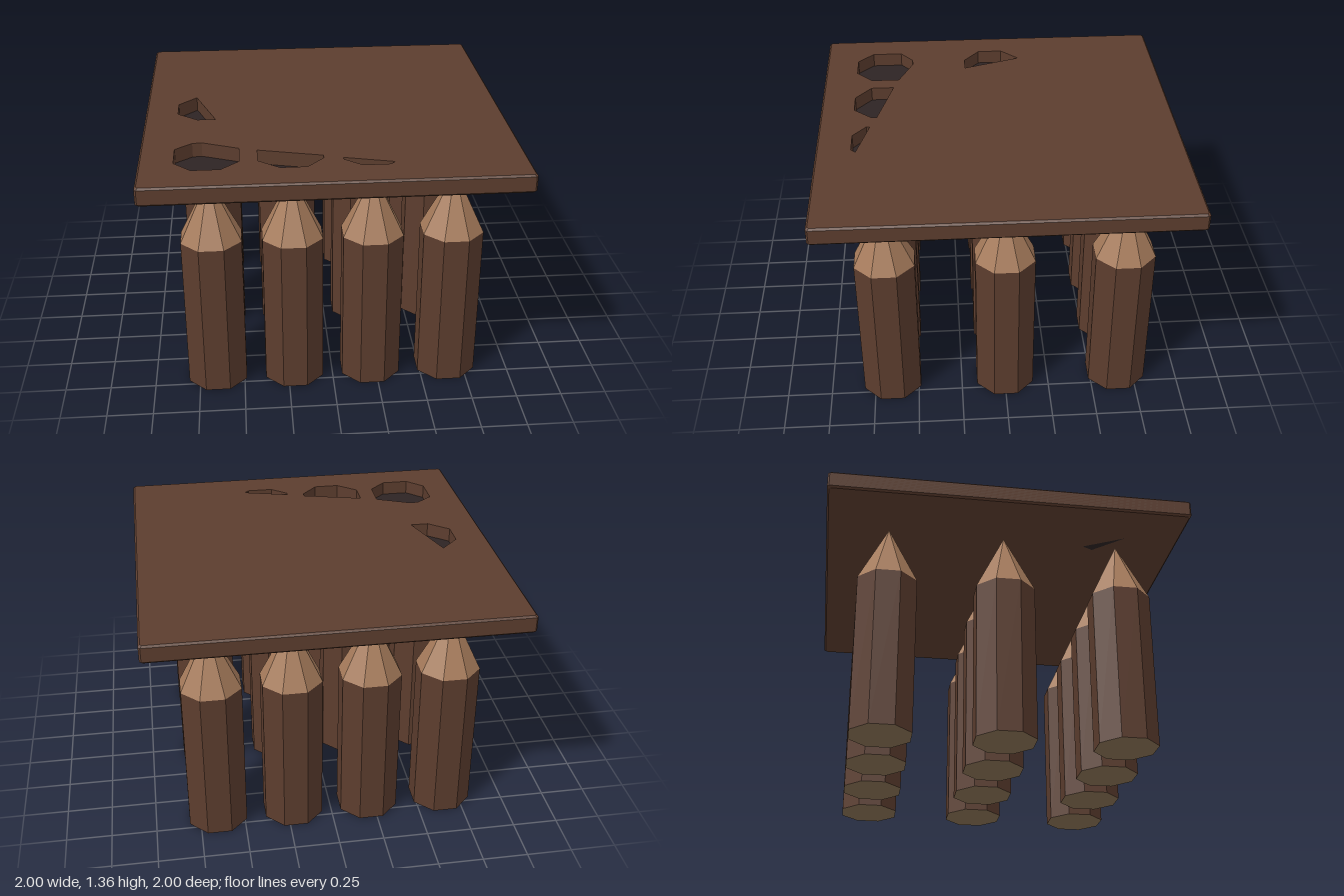
import * as THREE from 'three';

const material = (name, color) => Object.assign(new THREE.MeshStandardMaterial({ color }), { name });

const BOTTOM = 1.26, FLOOR = 1.28, TOP = 1.36;

// Openings in the board's upper face, as [x, z]
const PITS = [
  [[-0.82, 0.55], [-0.73, 0.48], [-0.68, 0.475], [-0.485, 0.56], [-0.485, 0.72], [-0.58, 0.81], [-0.73, 0.81], [-0.82, 0.72]],
  [[-0.39, 0.59], [-0.05, 0.68], [-0.05, 0.71], [-0.14, 0.81], [-0.28, 0.81], [-0.39, 0.72]],
  [[0.05, 0.715], [0.31, 0.785], [0.285, 0.81], [0.14, 0.81], [0.05, 0.735]],
  [[-0.72, -0.17], [-0.61, 0.16], [-0.71, 0.16], [-0.82, 0.07], [-0.82, -0.07]],
];

// Narrow gaps in the underside, as [x, z]
const GAPS = [
  [[-0.61, 0.47], [-0.58, 0.53], [-0.73, 0.69]],
  [[0.53, -0.54], [0.66, -0.65], [0.645, -0.59]],
];

const points = (list, sign) => list.map(([x, z]) => new THREE.Vector2(x, sign * z));

// Horizontal layer of the board, chamfered along its outer edges
function boardLayer(y0, y1, holes) {
  const a = 1, b = 0.99;
  const shape = new THREE.Shape(points(
    [[-b, -a], [b, -a], [a, -b], [a, b], [b, a], [-b, a], [-a, b], [-a, -b]], 1));
  shape.holes = holes.map((h) => new THREE.Path(points(h, -1)));
  const geo = new THREE.ExtrudeGeometry(shape, {
    depth: y1 - y0, steps: Math.round((y1 - y0) / 0.01), bevelEnabled: false,
  });
  geo.rotateX(-Math.PI / 2).translate(0, y0, 0);
  const p = geo.attributes.position;
  for (let i = 0; i < p.count; i++) {
    const outer = Math.max(Math.abs(p.getX(i)), Math.abs(p.getZ(i))) > 0.98;
    const edge = p.getY(i) < BOTTOM + 0.001 || p.getY(i) > TOP - 0.001;
    if (outer && edge) p.setXYZ(i, p.getX(i) * 0.99, p.getY(i), p.getZ(i) * 0.99);
  }
  geo.computeVertexNormals();
  return geo;
}

export function createModel() {
  const wood = material('darkWood', 0x5c3d2e);
  const tipWood = material('sharpenedWood', 0xa67b5b);
  const endGrain = material('endGrain', 0x8b7355);
  const dark = material('pitDark', 0x2d2424);
  for (const m of [wood, tipWood, endGrain]) m.flatShading = true;

  const model = new THREE.Group();
  model.name = 'spikeBoard';
  const add = (parent, name, geo, mat) => {
    const mesh = new THREE.Mesh(geo, mat);
    mesh.name = name;
    parent.add(mesh);
    return mesh;
  };

  // Board with shallow pits
  const board = new THREE.Group();
  board.name = 'board';
  model.add(board);
  add(board, 'boardBase', boardLayer(BOTTOM, FLOOR, []), wood);
  add(board, 'boardTop', boardLayer(FLOOR, TOP, PITS), wood);
  for (const pit of PITS) {
    const geo = new THREE.ShapeGeometry(new THREE.Shape(points(pit, -1)));
    add(board, 'pitFloor', geo.rotateX(-Math.PI / 2).translate(0, FLOOR + 0.002, 0), dark);
  }
  for (const gap of GAPS) {
    const geo = new THREE.ShapeGeometry(new THREE.Shape(points(gap, 1)));
    add(board, 'undersideGap', geo.rotateX(Math.PI / 2).translate(0, BOTTOM - 0.002, 0), dark);
  }

  // Eight-sided stakes, four across and three deep
  const radius = 0.162 / Math.cos(Math.PI / 8);
  const shaftGeo = new THREE.CylinderGeometry(radius, radius, 0.89, 8)
    .rotateY(Math.PI / 8).translate(0, 0.445, 0);
  const tipGeo = new THREE.ConeGeometry(radius, 0.35, 8, 1, true)
    .rotateY(Math.PI / 8).translate(0, 1.065, 0);
  for (let col = 0; col < 4; col++) {
    for (let row = 0; row < 3; row++) {
      const stake = new THREE.Group();
      stake.name = 'stake';
      stake.position.set((col - 1.5) * 0.433, 0, (row - 1) * 0.65);
      add(stake, 'shaft', shaftGeo, [wood, wood, endGrain]);
      add(stake, 'tip', tipGeo, tipWood);
      model.add(stake);
    }
  }
  return model;
}
